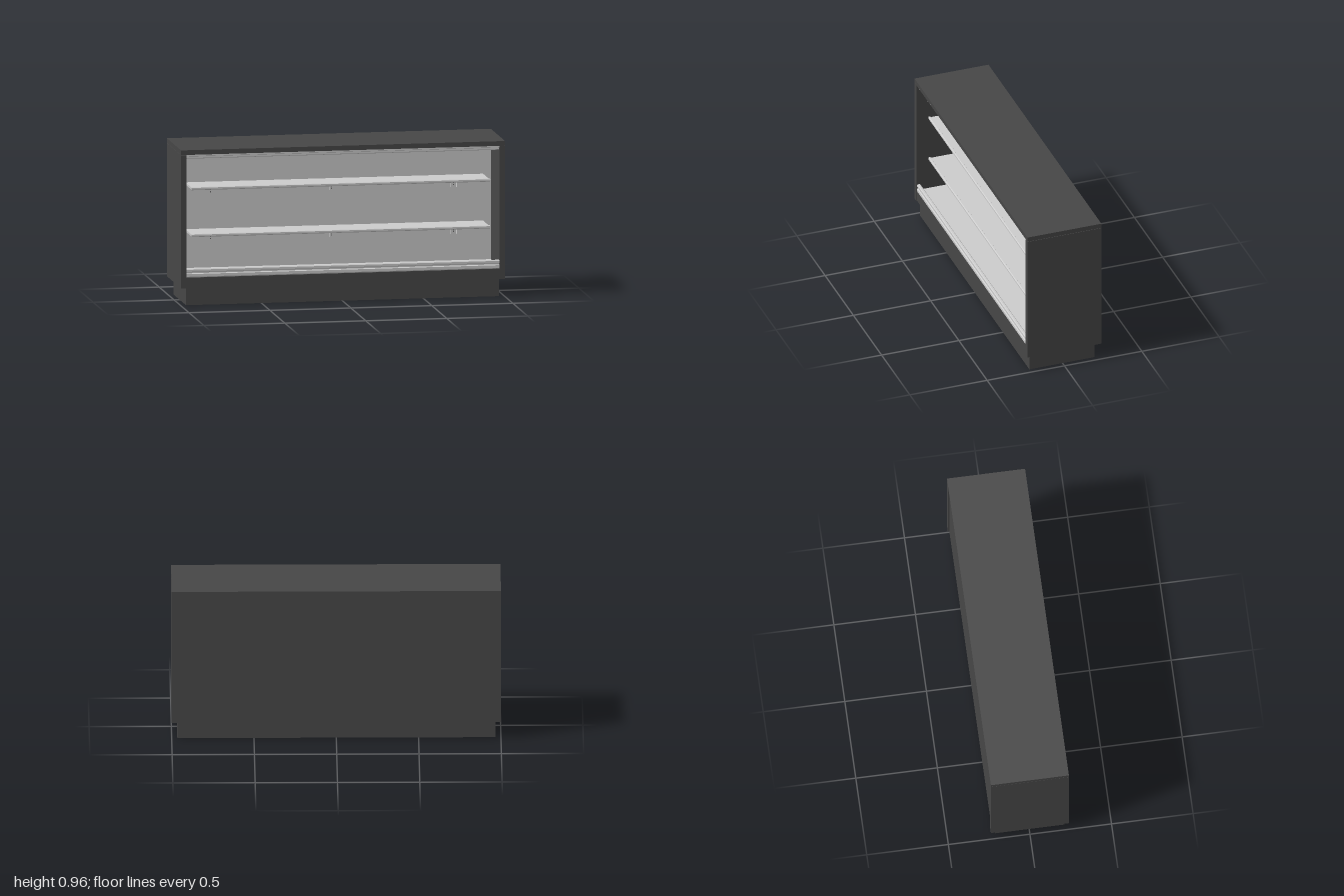
import * as THREE from 'three';

const dark = new THREE.MeshStandardMaterial({ color: 0x474747 });
dark.name = 'charcoal panel';
const light = new THREE.MeshStandardMaterial({ color: 0xcccccc });
light.name = 'light grey metal';
const slot = new THREE.MeshStandardMaterial({ color: 0x6a6a6a });
slot.name = 'bracket slot grey';

// Box given by its minimum and maximum on each axis
function box(parent, name, mat, [x0, x1], [y0, y1], [z0, z1]) {
  const mesh = new THREE.Mesh(new THREE.BoxGeometry(x1 - x0, y1 - y0, z1 - z0), mat);
  mesh.position.set((x0 + x1) / 2, (y0 + y1) / 2, (z0 + z1) / 2);
  mesh.name = name;
  parent.add(mesh);
  return mesh;
}

// Extrudes a (z, y) profile along x between two ends
function rail(parent, name, mat, points, x0, x1) {
  const shape = new THREE.Shape(points.map(([z, y]) => new THREE.Vector2(z, y)));
  const geo = new THREE.ExtrudeGeometry(shape, { depth: x1 - x0, bevelEnabled: false });
  geo.rotateY(-Math.PI / 2);
  geo.translate(x1, 0, 0);
  const mesh = new THREE.Mesh(geo, mat);
  mesh.name = name;
  parent.add(mesh);
}

// Bracket with a top flange and a slotted back plate, or an open U-channel
function bracket(parent, x, top, channel) {
  const g = new THREE.Group();
  g.name = 'shelfBracket';
  box(g, 'bracketFlange', light, [x - 0.02, x + 0.02], [top - 0.008, top], [-0.05, 0.12]);
  if (channel) {
    for (const s of [-1, 1]) {
      box(g, 'bracketCheek', light, [x + s * 0.018 - 0.002, x + s * 0.018 + 0.002],
        [top - 0.062, top - 0.008], [-0.05, -0.025]);
    }
  }
  box(g, 'bracketPlate', light, [x - 0.012, x + 0.012], [top - 0.06, top - 0.008], [-0.05, -0.046]);
  for (let i = 0; i < 3; i++) {
    const y = top - 0.02 - i * 0.014;
    box(g, 'bracketSlot', slot, [x - 0.003, x + 0.003], [y - 0.004, y + 0.004], [-0.047, -0.045]);
  }
  parent.add(g);
}

export function createModel() {
  const model = new THREE.Group();
  model.name = 'openDisplayCabinet';
  const inner = [-0.966, 0.966];

  // Carcass
  box(model, 'plinth', dark, inner, [0, 0.108], [-0.208, 0.215]);
  box(model, 'topPanel', dark, [-1, 1], [0.928, 0.957], [-0.239, 0.239]);
  for (const s of [-1, 1]) {
    box(model, 'sidePanel', dark, s < 0 ? [-1, -0.966] : [0.966, 1], [0.108, 0.926], [-0.239, 0.239]);
  }
  box(model, 'lowerFrontPanel', dark, inner, [0.108, 0.172], [-0.23, 0.234]);
  box(model, 'rearHousing', dark, inner, [0.172, 0.928], [-0.23, -0.058]);

  // Light interior lining
  box(model, 'innerBackPanel', light, inner, [0.172, 0.928], [-0.058, -0.05]);
  box(model, 'displayFloor', light, inner, [0.172, 0.186], [-0.05, 0.21]);
  box(model, 'ceilingPanel', light, inner, [0.918, 0.928], [-0.05, 0.21]);

  // Stepped front rails
  rail(model, 'lowerFrontRail', light, [
    [0.205, 0.172], [0.23, 0.172], [0.236, 0.178], [0.236, 0.194], [0.229, 0.198],
    [0.229, 0.204], [0.234, 0.208], [0.234, 0.22], [0.229, 0.225], [0.218, 0.225],
    [0.213, 0.22], [0.213, 0.19], [0.205, 0.186],
  ], ...inner);
  rail(model, 'upperFrontRail', light, [
    [0.205, 0.902], [0.222, 0.902], [0.226, 0.906], [0.226, 0.916], [0.234, 0.919],
    [0.234, 0.928], [0.205, 0.928],
  ], ...inner);

  // Two shelves with a raised front edge, carried by three brackets each
  for (const y of [0.7, 0.412]) {
    const shelf = new THREE.Group();
    shelf.name = 'shelf';
    box(shelf, 'shelfBoard', light, [-0.921, 0.917], [y, y + 0.013], [-0.05, 0.165]);
    rail(shelf, 'shelfFrontEdge', light, [
      [0.163, y], [0.172, y - 0.001], [0.178, y + 0.004], [0.178, y + 0.014],
      [0.173, y + 0.018], [0.166, y + 0.018], [0.163, y + 0.013],
    ], -0.924, 0.92);
    bracket(shelf, -0.766, y, false);
    bracket(shelf, -0.018, y, false);
    bracket(shelf, 0.735, y, true);
    model.add(shelf);
  }
  return model;
}
